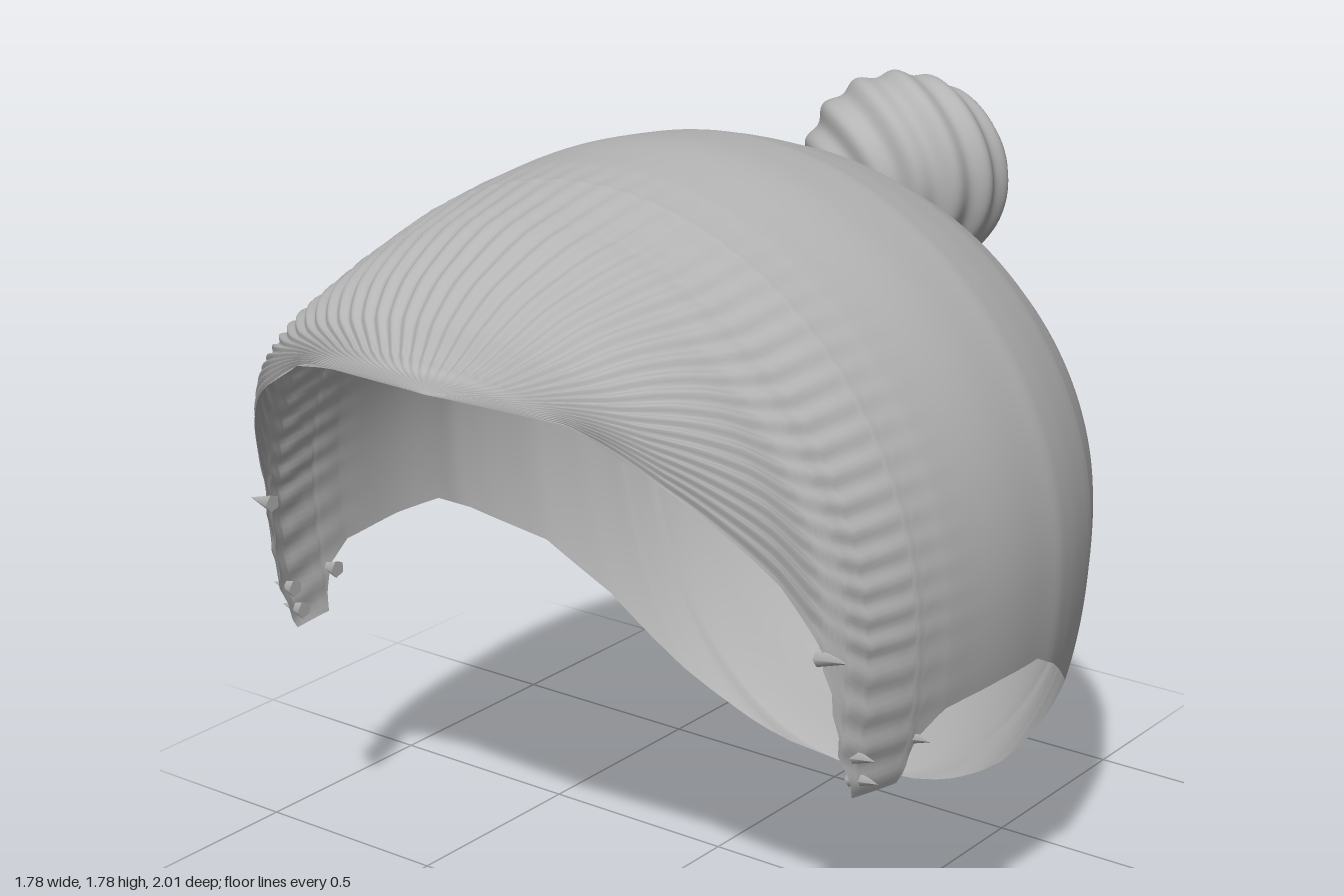
import * as THREE from 'three';
import { mergeVertices } from 'three/addons/utils/BufferGeometryUtils.js';

// Cross-sections, front to back: z, top y, half width, y of widest point, bottom y, rim y
const SECTIONS = [
  [1.0, 1.42, 0, 1.42, 0.3, 1.42],
  [0.985, 1.455, 0.27, 1.42, 0.2, 1.42],
  [0.965, 1.48, 0.39, 1.4, 0.1, 1.4],
  [0.91, 1.545, 0.55, 1.3, 0, 1.3],
  [0.84, 1.605, 0.65, 1.2, -0.1, 1.2],
  [0.77, 1.645, 0.72, 1.1, -0.15, 1.1],
  [0.7, 1.68, 0.775, 0.98, -0.2, 0.95],
  [0.65, 1.7, 0.81, 0.93, -0.2, 0.7],
  [0.6, 1.715, 0.83, 0.9, -0.2, 0.585],
  [0.47, 1.748, 0.855, 0.9, -0.2, 0.58],
  [0.435, 1.755, 0.86, 0.9, -0.2, 0.68],
  [0.35, 1.768, 0.872, 0.9, -0.18, 0.72],
  [0.15, 1.783, 0.89, 0.9, -0.15, 0.725],
  [0, 1.773, 0.888, 0.9, -0.15, 0.72],
  [-0.1, 1.755, 0.88, 0.9, -0.15, 0.67],
  [-0.3, 1.695, 0.825, 0.9, -0.15, 0.54],
  [-0.42, 1.637, 0.762, 0.9, -0.14, 0.38],
  [-0.51, 1.575, 0.71, 0.89, -0.09, 0.18],
  [-0.55, 1.542, 0.68, 0.88, -0.06, 0.1],
  [-0.585, 1.512, 0.652, 0.87, 0.005, 0.005],
  [-0.68, 1.4, 0.565, 0.84, 0.155, 0.155],
  [-0.8, 1.215, 0.41, 0.8, 0.345, 0.345],
  [-0.87, 1.06, 0.285, 0.79, 0.5, 0.5],
  [-0.905, 0.95, 0.17, 0.78, 0.62, 0.62],
  [-0.92, 0.78, 0, 0.78, 0.78, 0.78],
];

// Smooth interpolation of one column of the section table
function sample(column, u) {
  const last = SECTIONS.length - 1;
  const i = Math.min(Math.floor(u), last - 1);
  const f = u - i;
  const at = (k) => SECTIONS[THREE.MathUtils.clamp(k, 0, last)][column];
  const p0 = at(i - 1), p1 = at(i), p2 = at(i + 1), p3 = at(i + 2);
  if (column === 5 || column === 0) return p1 + (p2 - p1) * f;
  return p1 + 0.5 * f * (p2 - p0 + f * (2 * p0 - 5 * p1 + 4 * p2 - p3 + f * (3 * (p1 - p2) + p3 - p0)));
}

// Open hair shell: arches over the head, closed at the back
function shellGeometry() {
  const rows = (SECTIONS.length - 1) * 5, cols = 280;
  const positions = [], index = [];
  for (let i = 0; i <= rows; i++) {
    const [z, top, width, mid, bottom, rim] = [0, 1, 2, 3, 4, 5].map((c) => sample(c, i / 5));
    const drop = z <= -0.585 ? -1 : THREE.MathUtils.clamp((rim - mid) / (mid - bottom), -1, 0);
    const end = Math.acos(drop);
    const strands = 0.006 * THREE.MathUtils.smoothstep(z, 0.25, 0.8) * (1 - THREE.MathUtils.smoothstep(z, 0.95, 1));
    for (let j = 0; j <= cols; j++) {
      const t = end * (2 * j / cols - 1);
      const c = Math.cos(t), s = Math.sin(t);
      const ripple = strands * Math.sin(84 * t + 9 * z);
      positions.push(
        width * s + ripple * s,
        mid + c * (c > 0 ? top - mid : mid - bottom) + ripple * c,
        z
      );
      if (i < rows && j < cols) {
        const a = i * (cols + 1) + j, b = a + cols + 1;
        index.push(a, a + 1, b, a + 1, b + 1, b);
      }
    }
  }
  const g = new THREE.BufferGeometry();
  g.setAttribute('position', new THREE.Float32BufferAttribute(positions, 3));
  g.setIndex(index);
  const merged = mergeVertices(g, 1e-4);
  merged.computeVertexNormals();
  return merged;
}

// Ball with spiral ridges running from pole to pole
function bunGeometry() {
  const g = new THREE.SphereGeometry(1, 128, 96);
  g.deleteAttribute('uv');
  g.deleteAttribute('normal');
  const bun = mergeVertices(g, 1e-4);
  const p = bun.attributes.position;
  for (let i = 0; i < p.count; i++) {
    const x = p.getX(i), y = p.getY(i), z = p.getZ(i);
    const polar = Math.acos(THREE.MathUtils.clamp(y, -1, 1));
    const r = 1 + 0.035 * Math.sin(polar) * Math.sin(9 * Math.atan2(z, x) + 12 * polar);
    p.setXYZ(i, x * r * 0.252, y * r * 0.222, z * r * 0.252);
  }
  bun.computeVertexNormals();
  return bun;
}

export function createModel() {
  const model = new THREE.Group();
  model.name = 'hairWithBun';
  const hair = new THREE.MeshStandardMaterial({ color: 0xb4b4b4, side: THREE.DoubleSide });
  hair.name = 'hairGrey';

  const add = (name, geometry) => {
    const mesh = new THREE.Mesh(geometry, hair);
    mesh.name = name;
    model.add(mesh);
    return mesh;
  };

  add('hairShell', shellGeometry());

  // Bun, tilted up and back
  const bun = add('bun', bunGeometry());
  bun.position.set(0, 1.54, -0.775);
  bun.rotation.x = -0.95;

  // Stray tufts along the temples
  const tufts = [[0.8, 0.93, 0.69], [0.82, 0.69, 0.61], [0.815, 0.63, 0.59], [0.845, 0.68, 0.44]];
  for (const side of [1, -1]) {
    for (const [x, y, z] of tufts) {
      const tuft = add('templeTuft', new THREE.ConeGeometry(0.022, 0.07, 5));
      tuft.position.set(side * x, y, z);
      tuft.rotation.z = -side * Math.PI / 2;
    }
  }
  return model;
}
